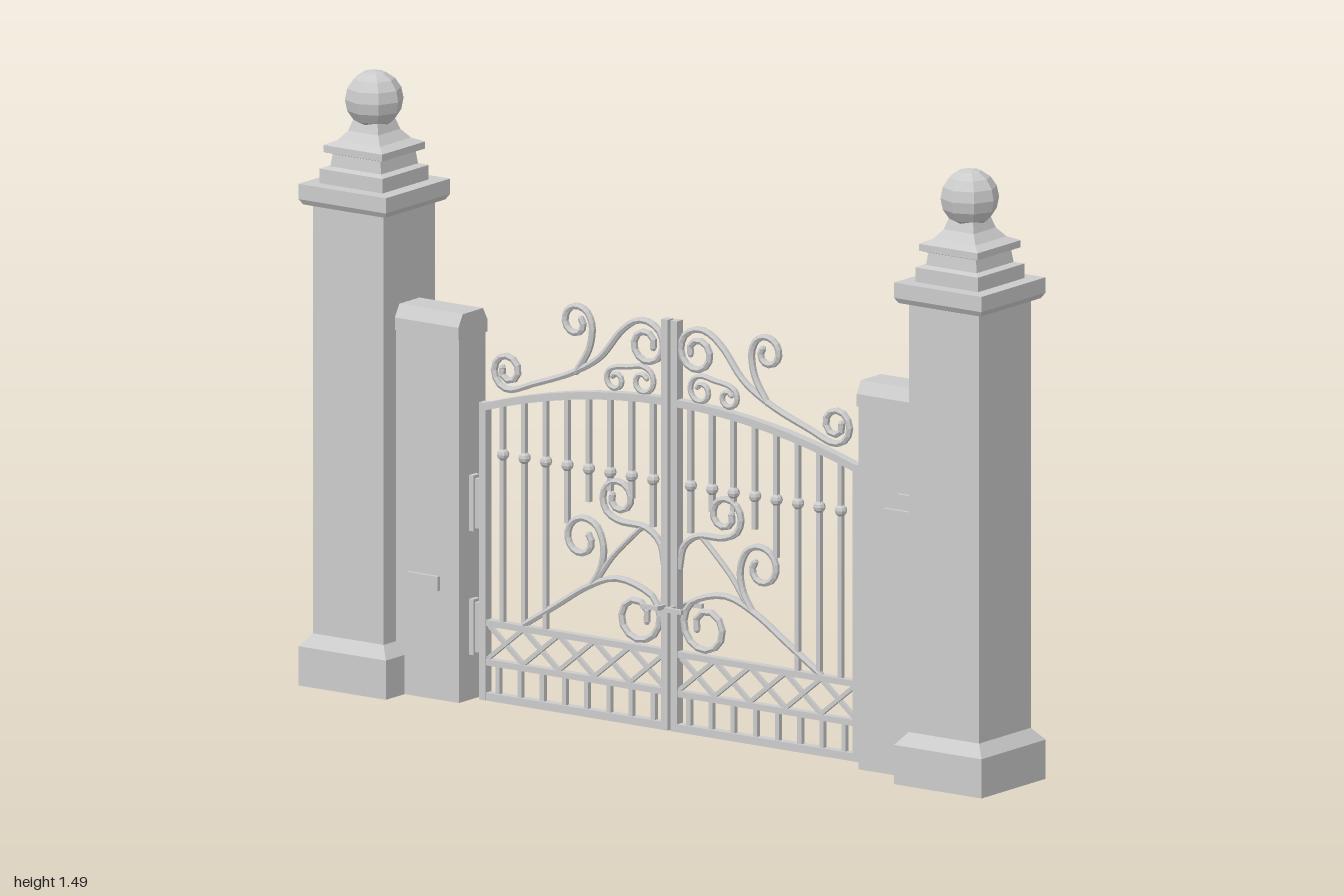
import * as THREE from 'three';

const material = new THREE.MeshStandardMaterial({ color: 0xcccccc, flatShading: true });

function add(parent, name, geometry, x = 0, y = 0, z = 0) {
  const flat = geometry.index ? geometry.toNonIndexed() : geometry;
  flat.computeVertexNormals();
  const mesh = new THREE.Mesh(flat, material);
  mesh.name = name;
  mesh.position.set(x, y, z);
  parent.add(mesh);
  return mesh;
}

// Box given by its x and y limits, centred on z
function slab(parent, name, x0, x1, y0, y1, depth, z = 0) {
  return add(parent, name, new THREE.BoxGeometry(x1 - x0, y1 - y0, depth), (x0 + x1) / 2, (y0 + y1) / 2, z);
}

function outline(points, depth) {
  const shape = new THREE.Shape(points.map(([x, y]) => new THREE.Vector2(x, y)));
  const g = new THREE.ExtrudeGeometry(shape, { depth, bevelEnabled: false });
  return g.translate(0, 0, -depth / 2);
}

// Square moulding turned from a profile of [half width, height]
function squareLathe(profile) {
  const points = profile.map(([r, y]) => new THREE.Vector2(r * Math.SQRT2, y));
  return new THREE.LatheGeometry(points, 4, Math.PI / 4);
}

// Points of a curl, from its outer end inwards
function curl(cx, cy, r, startDegrees, dir, turns = 1.3) {
  const points = [];
  const n = Math.round(turns * 8);
  for (let i = 0; i <= n; i++) {
    const a = THREE.MathUtils.degToRad(startDegrees) + dir * turns * 2 * Math.PI * i / n;
    const k = r * (1 - 0.62 * i / n);
    points.push([cx + k * Math.cos(a), cy + k * Math.sin(a)]);
  }
  return points;
}

function scroll(parent, name, points, radius = 0.0085) {
  const path = new THREE.CatmullRomCurve3(points.map(([x, y]) => new THREE.Vector3(x, y, 0)), false, 'centripetal');
  const g = new THREE.TubeGeometry(path, points.length * 2, radius, 6, false);
  add(parent, name, g);
  // Closed tips
  for (const [x, y] of [points[0], points[points.length - 1]]) {
    add(parent, name + 'Tip', new THREE.SphereGeometry(radius, 6, 4), x, y, 0);
  }
}

function buildPillar() {
  const pillar = new THREE.Group();
  pillar.name = 'pillar';
  add(pillar, 'pillarBody', squareLathe([
    [0, 0], [0.128, 0], [0.128, 0.095], [0.103, 0.125], [0.103, 1.16], [0.12, 1.165],
    [0.128, 1.178], [0.128, 1.215], [0.092, 1.215], [0.092, 1.25], [0.074, 1.255],
    [0.07, 1.285], [0.086, 1.29], [0.086, 1.307], [0.062, 1.318], [0.044, 1.34], [0.036, 1.365], [0, 1.365],
  ]));
  add(pillar, 'ballFinial', new THREE.SphereGeometry(0.07, 8, 8), 0, 1.415, 0);
  pillar.position.x = 0.872;
  return pillar;
}

function buildWall() {
  const wall = new THREE.Group();
  wall.name = 'sideWall';
  slab(wall, 'wallPanel', 0.585, 0.79, 0, 0.885, 0.106);
  const cap = add(wall, 'wallCap', outline([
    [-0.058, 0.88], [0.058, 0.88], [0.058, 0.91], [0.04, 0.94], [-0.04, 0.94], [-0.058, 0.91],
  ], 0.207), 0.6865);
  cap.rotation.y = Math.PI / 2;
  // Exposed bricks
  slab(wall, 'brick', 0.665, 0.755, 0.605, 0.645, 0.016, 0.055);
  slab(wall, 'brick', 0.705, 0.785, 0.648, 0.685, 0.016, 0.055);
  slab(wall, 'brick', 0.64, 0.73, 0.265, 0.3, 0.016, -0.055);
  return wall;
}

const railTop = (x) => 0.81 - 0.09 * (x / 0.557) ** 2;

function buildLeaf() {
  const leaf = new THREE.Group();
  leaf.name = 'gateLeaf';

  // Frame
  slab(leaf, 'innerStile', 0.004, 0.023, 0.005, 1.0, 0.024);
  slab(leaf, 'outerStile', 0.537, 0.557, 0.005, 0.725, 0.024);
  slab(leaf, 'bottomRail', 0.02, 0.54, 0.005, 0.024, 0.022);
  slab(leaf, 'lowerRail', 0.02, 0.54, 0.09, 0.105, 0.02);
  slab(leaf, 'middleRail', 0.02, 0.54, 0.185, 0.2, 0.02);
  const upper = [], lower = [];
  for (let i = 0; i <= 8; i++) {
    const x = 0.015 + 0.542 * i / 8;
    upper.push([x, railTop(x)]);
    lower.unshift([x, railTop(x) - 0.018]);
  }
  add(leaf, 'curvedTopRail', outline([...lower, ...upper], 0.024));

  // Upright bars with collars; the inner ones stop above the scrolls
  const bottoms = [0.5, 0.56, 0.57, 0.535, 0.475, 0.2, 0.2, 0.2];
  bottoms.forEach((bottom, i) => {
    const x = 0.055 + i * 0.0628;
    slab(leaf, 'uprightBar', x - 0.006, x + 0.006, bottom - 0.01, railTop(x) - 0.01, 0.012);
    add(leaf, 'barCollar', new THREE.SphereGeometry(0.015, 8, 6), x, 0.605, 0);
    const px = 0.052 + i * 0.065;
    slab(leaf, 'shortBar', px - 0.006, px + 0.006, 0.02, 0.095, 0.012);
  });

  // Crossed lattice band
  const pitch = (0.54 - 0.02) / 5;
  for (let i = 0; i < 5; i++) {
    for (const side of [-1, 1]) {
      const bar = add(leaf, 'latticeBar', new THREE.BoxGeometry(Math.hypot(pitch, 0.085), 0.01, 0.01),
        0.02 + pitch * (i + 0.5), 0.145, side * 0.003);
      bar.rotation.z = side * Math.atan2(0.085, pitch);
    }
  }

  // Crest scrolls above the top rail
  scroll(leaf, 'crestScroll', [
    ...curl(0.48, 0.81, 0.046, -90, 1).reverse(),
    [0.4, 0.79], [0.29, 0.832], [0.21, 0.88], [0.15, 0.95], [0.11, 0.98],
    ...curl(0.075, 0.93, 0.056, 90, 1),
  ]);
  scroll(leaf, 'crestBranch', [[0.28, 0.835], [0.245, 0.89], [0.235, 0.925], ...curl(0.28, 0.955, 0.046, 180, -1, 1.1)]);
  scroll(leaf, 'smallScroll', [
    ...curl(0.165, 0.832, 0.03, 90, -1, 1.15).reverse(),
    [0.125, 0.868],
    ...curl(0.085, 0.838, 0.036, 90, 1, 1.15),
  ], 0.007);

  // Scrolls inside the leaf
  scroll(leaf, 'longScroll', [[0.435, 0.2], [0.34, 0.26], [0.245, 0.32], [0.165, 0.35], ...curl(0.1, 0.267, 0.074, 90, 1)]);
  scroll(leaf, 'branchScroll', [[0.235, 0.325], [0.21, 0.365], [0.2, 0.405], ...curl(0.262, 0.432, 0.06, 180, -1, 1.1)]);
  scroll(leaf, 'upperScroll', [[0.022, 0.4], [0.035, 0.455], [0.075, 0.485], ...curl(0.155, 0.545, 0.054, -90, 1)]);
  scroll(leaf, 'linkScroll', [[0.215, 0.345], [0.175, 0.4], [0.12, 0.455], [0.085, 0.487]], 0.007);

  // Latch handles on both faces
  slab(leaf, 'latchSpindle', 0.01, 0.02, 0.3, 0.31, 0.08);
  for (const z of [-0.04, 0.04]) slab(leaf, 'latchHandle', 0.01, 0.06, 0.3, 0.311, 0.01, z);

  // Hinges to the side wall
  for (const y of [0.11, 0.41]) {
    slab(leaf, 'hingePlate', 0.572, 0.588, y, y + 0.135, 0.026);
    add(leaf, 'hingePin', new THREE.CylinderGeometry(0.01, 0.01, 0.12, 8), 0.566, y + 0.0675, 0);
  }
  return leaf;
}

export function createModel() {
  const model = new THREE.Group();
  model.name = 'gateway';
  // The second half is the first turned half way round
  for (const name of ['leftHalf', 'rightHalf']) {
    const half = new THREE.Group();
    half.name = name;
    half.add(buildPillar(), buildWall(), buildLeaf());
    if (name === 'rightHalf') half.rotation.y = Math.PI;
    model.add(half);
  }
  return model;
}
